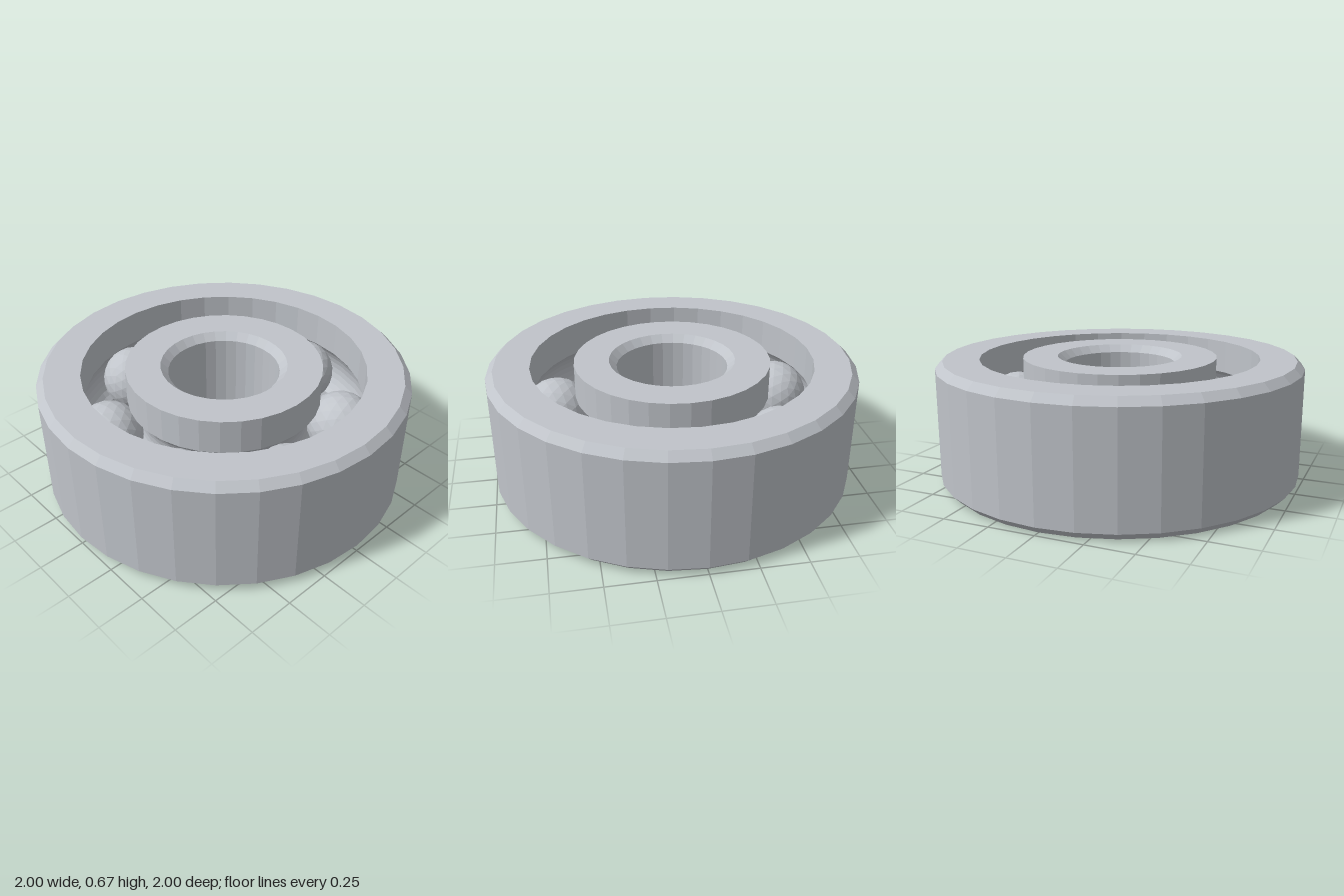
import * as THREE from 'three';

const HEIGHT = 0.67, MID = HEIGHT / 2, BEVEL = 0.04;
const PITCH = 0.65, BALL_R = 0.185, GROOVE_R = 0.187;
const BALLS = 7, SIDES = 32;

// Half-arc of the ball track, swept from angle a to angle b around the ball centre
function groove(a, b, steps = 10) {
  return Array.from({ length: steps + 1 }, (_, i) => {
    const t = a + (b - a) * i / steps;
    return [PITCH + GROOVE_R * Math.cos(t), MID + GROOVE_R * Math.sin(t)];
  });
}

// Closed, counter-clockwise (radius, y) profile turned around the axle
function ring(name, profile, material) {
  const points = [...profile, profile[0]].map(([r, y]) => new THREE.Vector2(r, y));
  const mesh = new THREE.Mesh(new THREE.LatheGeometry(points, SIDES), material);
  mesh.name = name;
  return mesh;
}

export function createModel() {
  const steel = new THREE.MeshStandardMaterial({ color: 0xc0c4ca, flatShading: true });
  steel.name = 'steel';
  const model = new THREE.Group();
  model.name = 'ballBearing';

  // Outer race: bevelled outside, grooved inside
  const outerLip = 0.766;
  const a = Math.acos((outerLip - PITCH) / GROOVE_R);
  model.add(ring('outerRace', [
    [1 - BEVEL, 0], [1, BEVEL], [1, HEIGHT - BEVEL], [1 - BEVEL, HEIGHT],
    [outerLip, HEIGHT], ...groove(a, -a), [outerLip, 0],
  ], steel));

  // Inner race: grooved outside, bevelled bore
  const innerLip = 0.532, bore = 0.302;
  const b = Math.acos((PITCH - innerLip) / GROOVE_R);
  model.add(ring('innerRace', [
    [innerLip, 0], ...groove(Math.PI + b, Math.PI - b), [innerLip, HEIGHT],
    [bore + BEVEL, HEIGHT], [bore, HEIGHT - BEVEL], [bore, BEVEL], [bore + BEVEL, 0],
  ], steel));

  // Balls
  const balls = new THREE.Group();
  balls.name = 'balls';
  const ballGeometry = new THREE.IcosahedronGeometry(BALL_R, 3);
  for (let i = 0; i < BALLS; i++) {
    const t = i / BALLS * Math.PI * 2;
    const ball = new THREE.Mesh(ballGeometry, steel);
    ball.name = 'ball';
    ball.position.set(PITCH * Math.cos(t), MID, -PITCH * Math.sin(t));
    ball.rotation.y = t;
    balls.add(ball);
  }
  model.add(balls);
  return model;
}
